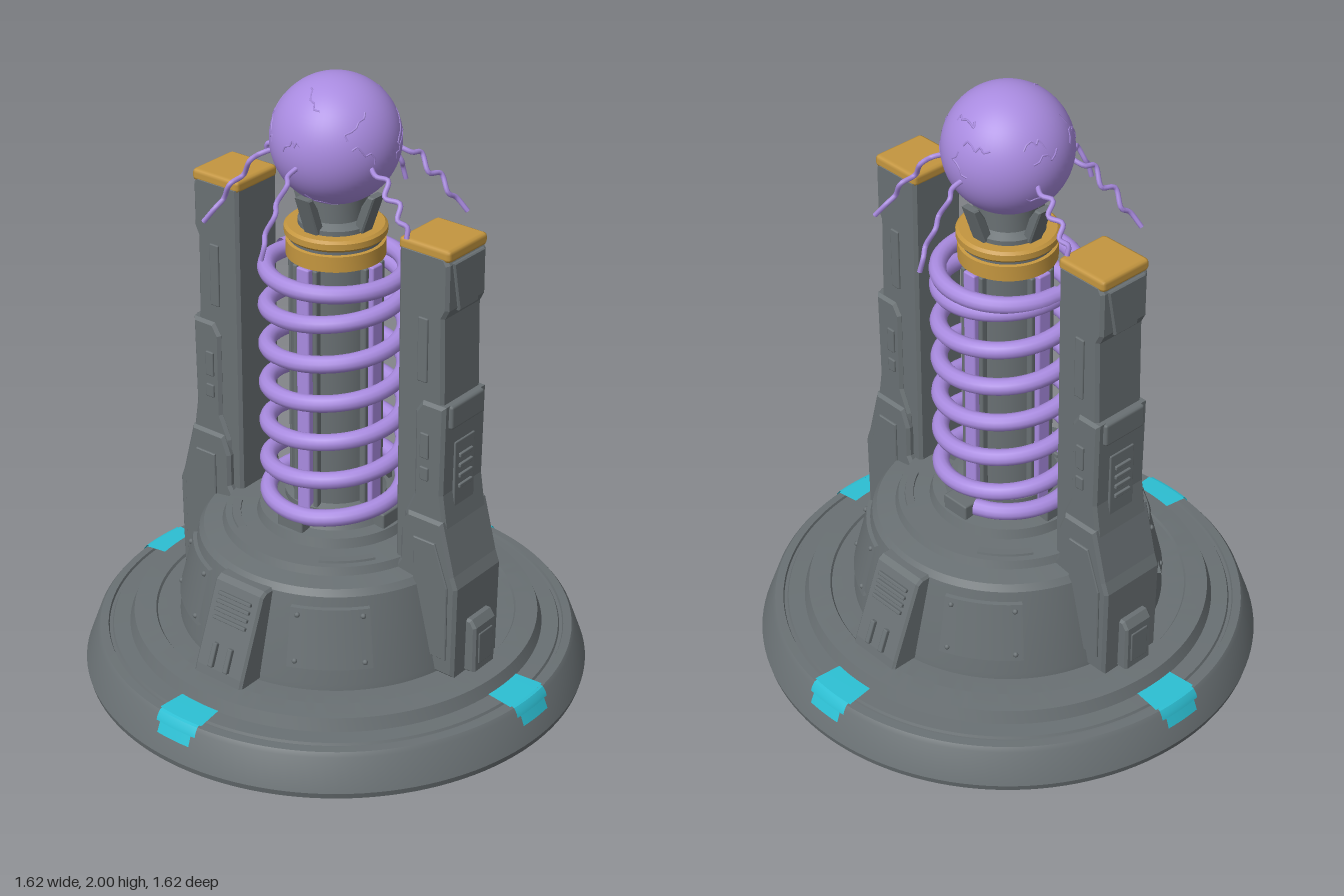
import * as THREE from 'three';
import { toCreasedNormals } from 'three/addons/utils/BufferGeometryUtils.js';
import { RoundedBoxGeometry } from 'three/addons/geometries/RoundedBoxGeometry.js';

const material = (name, color) => {
  const m = new THREE.MeshStandardMaterial({ color, side: THREE.DoubleSide });
  m.name = name;
  return m;
};

export function createModel() {
  const steel = material('steel grey', 0x697073);
  const purple = material('plasma purple', 0xa98be0);
  const gold = material('gold', 0xc4963f);
  const cyan = material('cyan light', 0x2cbfd3);
  const model = new THREE.Group();
  model.name = 'plasmaCoil';

  // Helpers
  const add = (parent, name, geo, mat, x = 0, y = 0, z = 0) => {
    const m = new THREE.Mesh(geo, mat);
    m.name = name;
    m.position.set(x, y, z);
    parent.add(m);
    return m;
  };
  const box = (parent, name, w, h, d, x, y, z, r = 0.006, mat = steel) =>
    add(parent, name, new RoundedBoxGeometry(w, h, d, 1, Math.min(r, w / 3, h / 3, d / 3)), mat, x, y, z);
  const lathe = (points, segments = 96, start = 0, length = Math.PI * 2) =>
    toCreasedNormals(new THREE.LatheGeometry(points.map(p => new THREE.Vector2(...p)), segments, start, length), 0.4);
  const slab = (points, depth, bevel = 0.01) => {
    const shape = new THREE.Shape(points.map(p => new THREE.Vector2(...p)));
    const geo = new THREE.ExtrudeGeometry(shape, {
      depth: depth - 2 * bevel, bevelSize: bevel, bevelThickness: bevel, bevelOffset: -bevel, bevelSegments: 1
    });
    return geo.translate(0, 0, bevel - depth / 2);
  };
  const turned = (name, angle) => {
    const g = new THREE.Group();
    g.name = name;
    g.rotation.y = angle;
    model.add(g);
    return g;
  };
  const quarter = Math.PI / 2;

  // Stepped round base and conical pedestal
  add(model, 'base', lathe([
    [0, 0], [0.805, 0], [0.81, 0.02], [0.772, 0.125], [0.762, 0.138], [0.735, 0.14], [0.732, 0.132],
    [0.722, 0.132], [0.718, 0.14], [0.665, 0.142], [0.65, 0.182], [0.58, 0.188], [0.575, 0.18], [0.5, 0.18]
  ], 128), steel);
  add(model, 'pedestal', lathe([
    [0.503, 0.17], [0.5, 0.2], [0.435, 0.475], [0.42, 0.495], [0.36, 0.505], [0.35, 0.53], [0.25, 0.535],
    [0.24, 0.565], [0.2, 0.57], [0.185, 0.6], [0, 0.6]
  ]), steel);

  for (let i = 0; i < 4; i++) {
    const a = i * quarter;
    // Lights set into the rim
    add(model, 'rimLightTop', lathe([[0.757, 0.144], [0.736, 0.145], [0.666, 0.147]], 8, a - 0.11, 0.22), cyan);
    add(model, 'rimLightEdge', lathe([[0.781, 0.112], [0.777, 0.125], [0.766, 0.141], [0.757, 0.144]], 8, a - 0.1, 0.2), cyan);
    add(model, 'rimLightSlope', lathe([[0.794, 0.08], [0.781, 0.112]], 6, a - 0.08, 0.16), cyan);

    // Curved bolted plates on the pedestal and arc ridges on its top
    const side = i % 2 ? -1 : 1;
    const mid = Math.floor(i / 2) * Math.PI + side * 0.64;
    const plate = (out, y0, y1) => {
      const r = y => 0.5 - (y - 0.2) * 0.236;
      return [[r(y0) - 0.01, y0], [r(y0) + out, y0 + 0.004], [r(y1) + out, y1 - 0.004], [r(y1) - 0.01, y1]];
    };
    add(model, 'pedestalPlate', lathe(plate(0.013, 0.25, 0.445), 12, mid - 0.27, 0.54), steel);
    for (const da of [-0.22, 0.22]) for (const y of [0.275, 0.42]) {
      const r = 0.513 - (y - 0.2) * 0.236;
      add(model, 'bolt', new THREE.SphereGeometry(0.009, 8, 6), steel, r * Math.sin(mid + da), y, r * Math.cos(mid + da));
    }
    add(model, 'topRidge', lathe([[0.33, 0.53], [0.328, 0.538], [0.302, 0.538], [0.3, 0.53]], 12,
      a + quarter / 2 - 0.27, 0.54), steel);

    // Energy strip, foot clamp and sphere prong on each side of the column
    const g = turned('columnSide', a);
    box(g, 'energyStrip', 0.048, 0.86, 0.03, 0, 1.0, 0.147, 0.006, purple);
    for (const x of [-0.038, 0.038]) box(g, 'stripRail', 0.018, 0.86, 0.024, x, 1.0, 0.14);
    box(g, 'footClamp', 0.1, 0.06, 0.06, 0, 0.585, 0.2);
    const prong = add(g, 'spherePronge'.slice(0, 11), slab([[0.085, 1.53], [0.12, 1.53], [0.165, 1.655], [0.14, 1.655], [0.115, 1.615]], 0.055, 0.005), steel);
    prong.rotation.y = -quarter;
  }

  // Sloped vents at front and back
  for (const a of [0, Math.PI]) {
    const g = turned('ventBlock', a);
    const body = add(g, 'ventBody', slab([[0.38, 0.18], [0.585, 0.18], [0.575, 0.215], [0.475, 0.468], [0.455, 0.48], [0.38, 0.48]], 0.19, 0.008), steel);
    body.rotation.y = -quarter;
    const face = new THREE.Group();
    face.name = 'ventFace';
    face.position.set(0, 0.34, 0.526);
    face.rotation.x = -0.376;
    g.add(face);
    for (let k = 0; k < 4; k++) box(face, 'louver', 0.13, 0.012, 0.014, 0, 0.025 + k * 0.026, 0.003, 0.003);
    for (const x of [-0.03, 0.03]) box(face, 'slot', 0.018, 0.08, 0.018, x, -0.09, 0.004, 0.004);
  }

  // Central column with gold collar and neck
  add(model, 'column', lathe([[0.16, 0.58], [0.16, 0.62], [0.138, 0.63], [0.138, 1.44], [0, 1.44]], 48), steel);
  add(model, 'lowerCollar', lathe([[0.13, 1.425], [0.152, 1.43], [0.152, 1.48], [0.13, 1.485]], 48), gold);
  add(model, 'collarGroove', new THREE.CylinderGeometry(0.142, 0.142, 0.02, 48), steel, 0, 1.488);
  add(model, 'upperCollar', lathe([[0.12, 1.495], [0.15, 1.495], [0.157, 1.503], [0.157, 1.522], [0.148, 1.53], [0, 1.53]], 48), gold);
  add(model, 'neck', lathe([[0.115, 1.52], [0.115, 1.545], [0.09, 1.56], [0.09, 1.63], [0, 1.63]], 40), steel);

  // Wound coil with flattened end turns
  const coilPath = [];
  for (let k = 0; k <= 174; k++) {
    const u = -1.2 + k * 7.2 / 174;
    const a = u * Math.PI * 2;
    const y = THREE.MathUtils.clamp(0.71 + 0.133 * u, 0.615, 1.385);
    coilPath.push(new THREE.Vector3(-0.212 * Math.cos(a), y, 0.212 * Math.sin(a)));
  }
  add(model, 'coil', new THREE.TubeGeometry(new THREE.CatmullRomCurve3(coilPath), 420, 0.027, 12), purple);

  // Plasma sphere with raised jagged veins
  add(model, 'sphere', new THREE.SphereGeometry(0.198, 56, 40), purple, 0, 1.8, 0);
  let seed = 7;
  const rand = () => (seed = (seed * 16807) % 2147483647) / 2147483647;
  for (let v = 0; v < 16; v++) {
    let theta = v * 2.4, lat = -0.75 + 1.6 * rand();
    const heading = rand() * 6.28;
    const points = [];
    for (let k = 0; k < 7; k++) {
      points.push(new THREE.Vector3().setFromSphericalCoords(0.197, Math.PI / 2 - lat, theta));
      const h = heading + (rand() - 0.5) * 2.6;
      theta += Math.cos(h) * 0.1 / Math.cos(lat);
      lat = THREE.MathUtils.clamp(lat + Math.sin(h) * 0.1, -1.1, 1.1);
    }
    const curve = new THREE.CatmullRomCurve3(points, false, 'catmullrom', 0.1);
    add(model, 'vein', new THREE.TubeGeometry(curve, 24, 0.0035, 5), purple, 0, 1.8, 0);
  }

  // Drooping tendrils: direction in x and z, then height of the tip
  const tendrils = [[-0.02, -0.37, 1.54], [0.29, -0.27, 1.55], [0.35, 0.11, 1.61],
    [0.02, 0.37, 1.54], [-0.29, 0.27, 1.54], [-0.35, -0.1, 1.63]];
  for (const [tx, tz, tip] of tendrils) {
    const reach = Math.hypot(tx, tz), dx = tx / reach, dz = tz / reach;
    const drop = (1.77 - tip) / 0.22;
    const path = [[0.18, 0, 0], [0.225, 0.02, 0.01], [0.255, 0.03, -0.012], [0.275, 0.085, 0.014],
      [0.315, 0.1, -0.012], [0.335, 0.155, 0.01], [0.36, 0.175, -0.006], [reach, 0.22, 0]];
    const points = path.map(([r, d, s]) => new THREE.Vector3(dx * r - dz * s, 1.77 - d * drop, dz * r + dx * s));
    add(model, 'tendril', new THREE.TubeGeometry(new THREE.CatmullRomCurve3(points), 36, 0.008, 7), purple);
  }

  // Side towers
  for (const a of [0, Math.PI]) {
    const g = turned('tower', a);
    add(g, 'towerShaft', slab([[0.31, 0.4], [0.48, 0.4], [0.48, 1.1], [0.475, 1.38], [0.49, 1.41], [0.49, 1.555], [0.475, 1.58], [0.31, 1.58]], 0.19), steel);
    box(g, 'towerCap', 0.186, 0.04, 0.19, 0.4, 1.582, 0, 0.013, gold);
    add(g, 'middleArmour', slab([[0.35, 0.6], [0.52, 0.6], [0.49, 0.8], [0.495, 1.1], [0.41, 1.1], [0.385, 1.06], [0.385, 0.78], [0.35, 0.7]], 0.212), steel);
    add(g, 'lowerArmour', slab([[0.31, 0.18], [0.555, 0.18], [0.56, 0.5], [0.545, 0.54], [0.5, 0.715], [0.37, 0.715], [0.345, 0.65], [0.345, 0.54], [0.31, 0.48]], 0.235), steel);
    add(g, 'foot', slab([[0.5, 0.18], [0.592, 0.18], [0.592, 0.345], [0.575, 0.37], [0.5, 0.37]], 0.11, 0.008), steel);
    box(g, 'clampBlock', 0.05, 0.08, 0.165, 0.482, 1.06, 0, 0.01);

    // Outer face: tapered head plate, louvers and lower panel
    const head = add(g, 'headPlate', slab([[-0.075, 1.56], [-0.045, 1.4], [0.045, 1.4], [0.075, 1.56]], 0.02, 0.004), steel, 0.488, 0, 0);
    head.rotation.y = quarter;
    box(g, 'louverPanel', 0.012, 0.25, 0.1, 0.492, 0.84, 0, 0.004);
    for (let k = 0; k < 4; k++) box(g, 'sideLouver', 0.012, 0.014, 0.065, 0.5, 0.81 + k * 0.035, 0, 0.003);
    box(g, 'footRecess', 0.012, 0.11, 0.07, 0.59, 0.265, 0, 0.004);

    // Slots and rivets on both broad faces
    for (const s of [-1, 1]) {
      box(g, 'longSlot', 0.036, 0.21, 0.012, 0.405, 1.265, s * 0.095, 0.004);
      box(g, 'upperSlot', 0.032, 0.085, 0.012, 0.425, 0.955, s * 0.106, 0.004);
      box(g, 'lowerSlot', 0.032, 0.045, 0.012, 0.425, 0.86, s * 0.106, 0.004);
      add(g, 'legPanel', slab([[0.4, 0.24], [0.53, 0.24], [0.53, 0.5], [0.48, 0.64], [0.4, 0.64]], 0.012, 0.003), steel, 0, 0, s * 0.118);
    }
  }
  return model;
}
